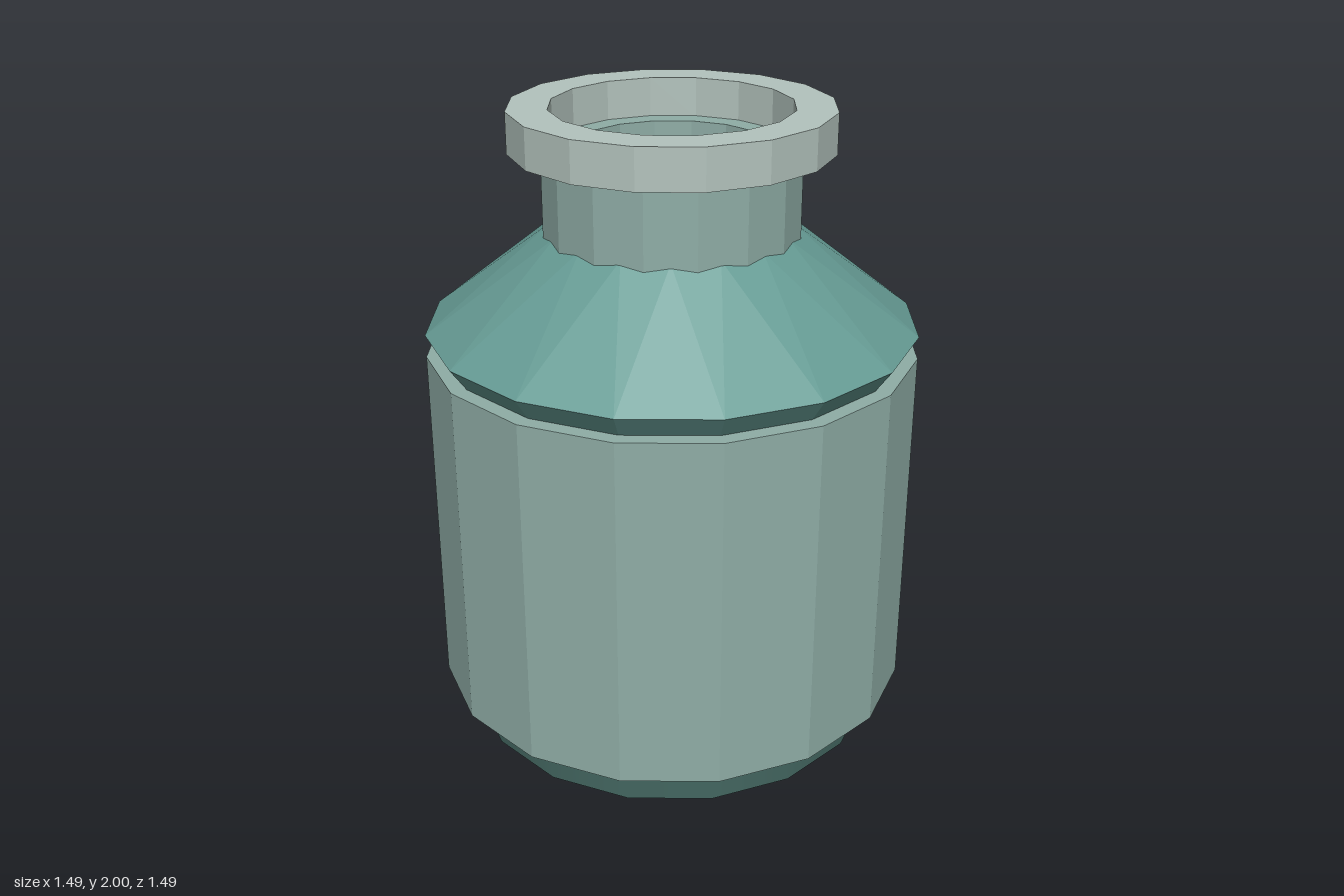
import * as THREE from 'three';

const SIDES = 16;
const STEP = (Math.PI * 2) / SIDES;

const material = (color, flatShading = true) =>
  new THREE.MeshStandardMaterial({ color, flatShading });

// Sixteen-sided turned part; profile points are [radius, y], outside going up
function turned(name, profile, mat) {
  const points = profile.map(([r, y]) => new THREE.Vector2(r, y));
  const mesh = new THREE.Mesh(new THREE.LatheGeometry(points, SIDES, STEP / 2), mat);
  mesh.name = name;
  return mesh;
}

// Pleated shoulder: bottom corners zigzag up to a ring turned by half a side
function pleats(bottomR, bottomY, topR, topY) {
  const at = (r, y, k) => [r * Math.sin(k * STEP), y, r * Math.cos(k * STEP)];
  const positions = [];
  for (let i = 0; i < SIDES; i++) {
    const left = at(bottomR, bottomY, i - 0.5);
    const right = at(bottomR, bottomY, i + 0.5);
    const apex = at(topR, topY, i);
    const nextApex = at(topR, topY, i + 1);
    positions.push(...left, ...right, ...apex);
    positions.push(...right, ...nextApex, ...apex);
  }
  const geometry = new THREE.BufferGeometry();
  geometry.setAttribute('position', new THREE.Float32BufferAttribute(positions, 3));
  geometry.computeVertexNormals();
  return geometry;
}

export function createModel() {
  const model = new THREE.Group();
  model.name = 'bottle';
  const glass = material(0x8fada6);
  const teal = material(0x659a93);
  const dark = material(0x436660);
  const pale = material(0xb3c3bd);

  // Base: softly shaded wall with a flat underside
  const base = new THREE.Group();
  base.name = 'base';
  base.add(
    turned('baseWall', [[0.662, 0], [0.662, 0.14]], material(0x436660, false)),
    turned('baseUnderside', [[0, 0], [0.662, 0]], dark)
  );
  model.add(base);

  // Body with flat ledges above and below
  model.add(turned('body', [[0.6, 0.14], [0.76, 0.14], [0.76, 1.26], [0.6, 1.26]], glass));

  // Shoulder: undercut lip and pleated slope
  const shoulder = new THREE.Group();
  shoulder.name = 'shoulder';
  const slope = new THREE.Mesh(pleats(0.76, 1.33, 0.372, 1.637), teal);
  slope.name = 'pleatedSlope';
  shoulder.add(turned('shoulderLip', [[0.71, 1.26], [0.76, 1.33]], teal), slope);
  model.add(shoulder);

  // Neck, with its inside wall
  model.add(turned('neck', [[0.392, 1.57], [0.392, 1.88], [0.297, 1.88], [0.297, 1.6]], glass));

  // Throat inside the shoulder, closed by a grey floor
  model.add(turned('throat', [[0.297, 1.6], [0.28, 1.5]], teal));
  model.add(turned('throatFloor', [[0.28, 1.5], [0, 1.5]], material(0x999999)));

  // Rim ring around the mouth
  model.add(turned('rim', [[0.367, 1.875], [0.49, 1.875], [0.49, 2], [0.367, 2], [0.367, 1.875]], pale));

  return model;
}
